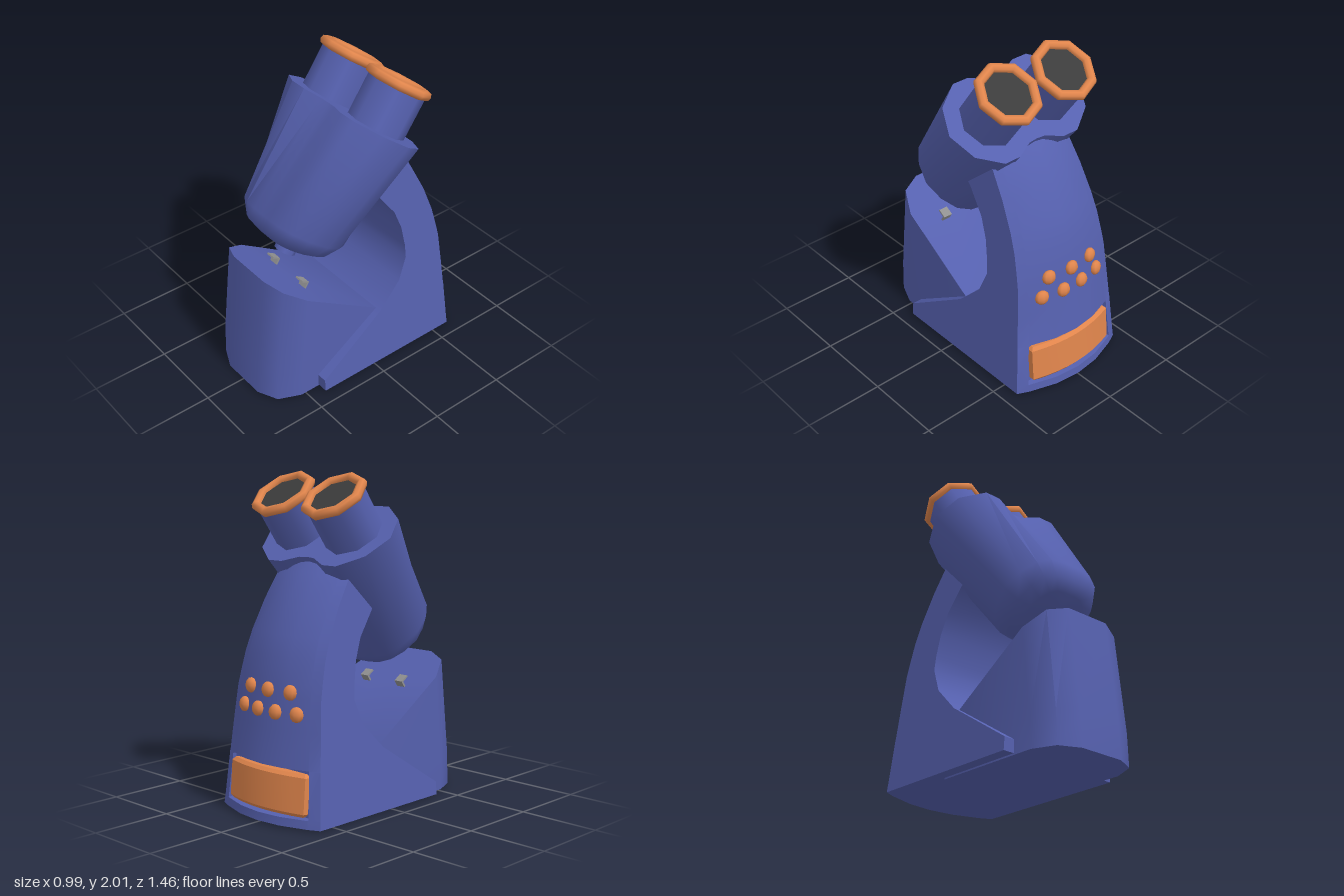
import * as THREE from 'three';
import { toCreasedNormals } from 'three/addons/utils/BufferGeometryUtils.js';

const material = (name, color) => {
  const m = new THREE.MeshStandardMaterial({ color });
  m.name = name;
  return m;
};

// Mirrors a half outline [x, z], listed front to back at +x, into a closed loop.
const mirrorX = half => half.concat(
  half.filter(p => p[0] > 0.01).reverse().map(([x, ...rest]) => [-x, ...rest]));

// Skins closed loops of [x, y, z] points from bottom to top and caps both ends.
function loft(rings, crease = 0.75) {
  const n = rings[0].length, pos = [], index = [];
  rings.forEach(r => r.forEach(p => pos.push(...p)));
  for (let i = 0; i < rings.length - 1; i++) {
    for (let j = 0; j < n; j++) {
      const a = i * n + j, b = i * n + (j + 1) % n;
      index.push(a, b, b + n, a, b + n, a + n);
    }
  }
  [0, rings.length - 1].forEach(i => {
    const centre = pos.length / 3;
    pos.push(...[0, 1, 2].map(k => rings[i].reduce((s, p) => s + p[k], 0) / n));
    for (let j = 0; j < n; j++) {
      const a = i * n + j, b = i * n + (j + 1) % n;
      index.push(centre, ...(i === 0 ? [b, a] : [a, b]));
    }
  });
  const g = new THREE.BufferGeometry();
  g.setAttribute('position', new THREE.Float32BufferAttribute(pos, 3));
  g.setIndex(index);
  return toCreasedNormals(g, crease);
}

export function createModel() {
  const blue = material('blue', 0x5560ae);
  const orange = material('orange', 0xe0854c);
  const dark = material('dark lens', 0x3c3c3c);
  const grey = material('grey metal', 0x909090);

  const model = new THREE.Group();
  model.name = 'microscope';
  const add = (parent, name, geometry, mat, x = 0, y = 0, z = 0) => {
    const mesh = new THREE.Mesh(geometry, mat);
    mesh.name = name;
    mesh.position.set(x, y, z);
    parent.add(mesh);
    return mesh;
  };

  // Base block with a sloping stage on top
  const stageY = z => 0.39 + 0.648 * (z + 0.06);
  const low = mirrorX([[0.15, 0.73], [0.28, 0.67], [0.34, 0.53], [0.34, -0.18]]);
  const high = mirrorX([[0.15, 0.65], [0.275, 0.6], [0.34, 0.47], [0.34, -0.06]]);
  add(model, 'base', loft([0, 0.25, 1].map(t => low.map(([x, z], i) => {
    const [hx, hz] = high[i];
    const bow = t === 0.25 && z > 0 ? 0.012 : 0;
    return [x + (hx - x) * t, stageY(hz) * t, z + (hz - z) * t + bow];
  }))), blue);

  // Curved arm: inner edge z, y, back corner z, y, bulge of the back, recessed row
  const rows = [
    [0.40, 0.01, -0.62, 0.01, 0.108],
    [0.40, 0.05, -0.615, 0.06, 0.108],
    [0.40, 0.09, -0.614, 0.065, 0.108, true],
    [-0.02, 0.364, -0.592, 0.335, 0.1, true],
    [-0.06, 0.39, -0.59, 0.34, 0.1],
    [-0.22, 0.55, -0.57, 0.55, 0.087],
    [-0.28, 0.70, -0.55, 0.74, 0.08],
    [-0.275, 0.79, -0.53, 0.83, 0.085],
    [-0.25, 0.93, -0.5, 0.95, 0.09],
    [-0.2, 1.06, -0.455, 1.07, 0.095],
    [-0.09, 1.21, -0.365, 1.25, 0.09],
    [-0.02, 1.28, -0.27, 1.4, 0.085],
    [0.0, 1.32, -0.2, 1.47, 0.08],
  ];
  const halfWidth = y => 0.415 - 0.085 * y;
  const columns = [1, 0.84, 0.82, 0.4, 0, -0.4, -0.82, -0.84, -1];
  add(model, 'arm', loft(rows.map(([iz, iy, oz, oy, bulge, recessed]) => [
    [halfWidth(iy), iy, iz],
    ...columns.map(u => {
      const b = recessed && Math.abs(u) < 0.83 ? 0.008 : bulge * (1 - u * u);
      return [u * halfWidth(oy), oy + b * 0.6 * Math.max(0, oy - 0.8), oz - b];
    }),
    [-halfWidth(iy), iy, iz],
  ]), 0.6), blue);

  // Curved panel set in the recess at the back
  const panel = new THREE.Shape();
  panel.moveTo(-0.295, -0.035);
  for (let i = -4; i <= 4; i++) {
    const x = i * 0.295 / 4;
    panel.lineTo(x, 0.035 - 0.6 * x * x);
  }
  panel.lineTo(0.295, -0.035);
  const panelGeometry = new THREE.ExtrudeGeometry(panel, {
    depth: 0.21, bevelSize: 0.018, bevelThickness: 0.02, bevelSegments: 1,
  }).rotateX(-Math.PI / 2);
  add(model, 'backPanel', toCreasedNormals(panelGeometry, 0.5), orange, 0, 0.09, -0.66)
    .rotation.x = 0.08;

  // Two rows of studs on the back of the arm
  const studs = [[0.77, [-0.165, 0, 0.165]], [0.65, [-0.22, -0.073, 0.073, 0.22]]];
  for (const [y, xs] of studs) {
    for (const x of xs) {
      const z = (y > 0.7 ? -0.632 : -0.648) + 0.085 * (x / halfWidth(y)) ** 2;
      const stud = add(model, 'stud', new THREE.SphereGeometry(0.046, 8, 6), orange, x, y, z);
      stud.scale.z = 0.65;
      stud.rotation.set(0.1, -x * 1.3, 0);
    }
  }

  // Slide clips on the stage
  for (const x of [-0.145, 0.145]) {
    const clip = new THREE.Group();
    clip.name = 'slideClip';
    clip.position.set(x, stageY(0.365), 0.365);
    clip.rotation.x = -0.575;
    add(clip, 'clipLeg', new THREE.BoxGeometry(0.06, 0.045, 0.012), grey, 0, 0.02, 0);
    add(clip, 'clipPlate', new THREE.BoxGeometry(0.06, 0.01, 0.06), grey, 0, 0.04, 0.024);
    model.add(clip);
  }

  // Tilted head: a double-lobed top tapering to a rounded lower end
  const head = new THREE.Group();
  head.name = 'head';
  head.position.set(0, 1.64, -0.135);
  head.rotation.x = -0.619;
  model.add(head);
  const outline = quarter => mirrorX(quarter.concat(
    quarter.slice(0, -1).reverse().map(([x, z]) => [x, -z])));
  const top = outline([[0, 0.22], [0.06, 0.225], [0.17, 0.276], [0.28, 0.276], [0.43, 0.17], [0.495, 0]]);
  const bottom = outline([[0, 0.285], [0.07, 0.285], [0.16, 0.272], [0.24, 0.225], [0.3, 0.13], [0.33, 0]]);
  const ring = (loop, y, s, dz) => loop.map(([x, z]) => [x * s, y, z * s + dz]);
  add(head, 'headBody', loft([
    ring(bottom, -0.87, 0.56, 0.015),
    ring(bottom, -0.835, 0.82, 0.015),
    ring(bottom, -0.745, 1, 0.015),
    ring(top, 0, 1, 0),
  ], 0.85), blue);

  // Objective under the head
  add(head, 'objective', new THREE.CylinderGeometry(0.067, 0.067, 0.12, 8), blue, 0, -0.88, -0.03);

  // Pair of eyepieces with rims and dark lenses
  for (const x of [-0.21, 0.21]) {
    add(head, 'eyepieceTube', new THREE.CylinderGeometry(0.18, 0.18, 0.3, 8), blue, x, 0.13, 0);
    add(head, 'eyepieceRim', new THREE.TorusGeometry(0.176, 0.031, 8, 8).rotateX(Math.PI / 2),
      orange, x, 0.286, 0);
    add(head, 'lens', new THREE.CylinderGeometry(0.16, 0.16, 0.008, 8), dark, x, 0.284, 0);
  }

  return model;
}
